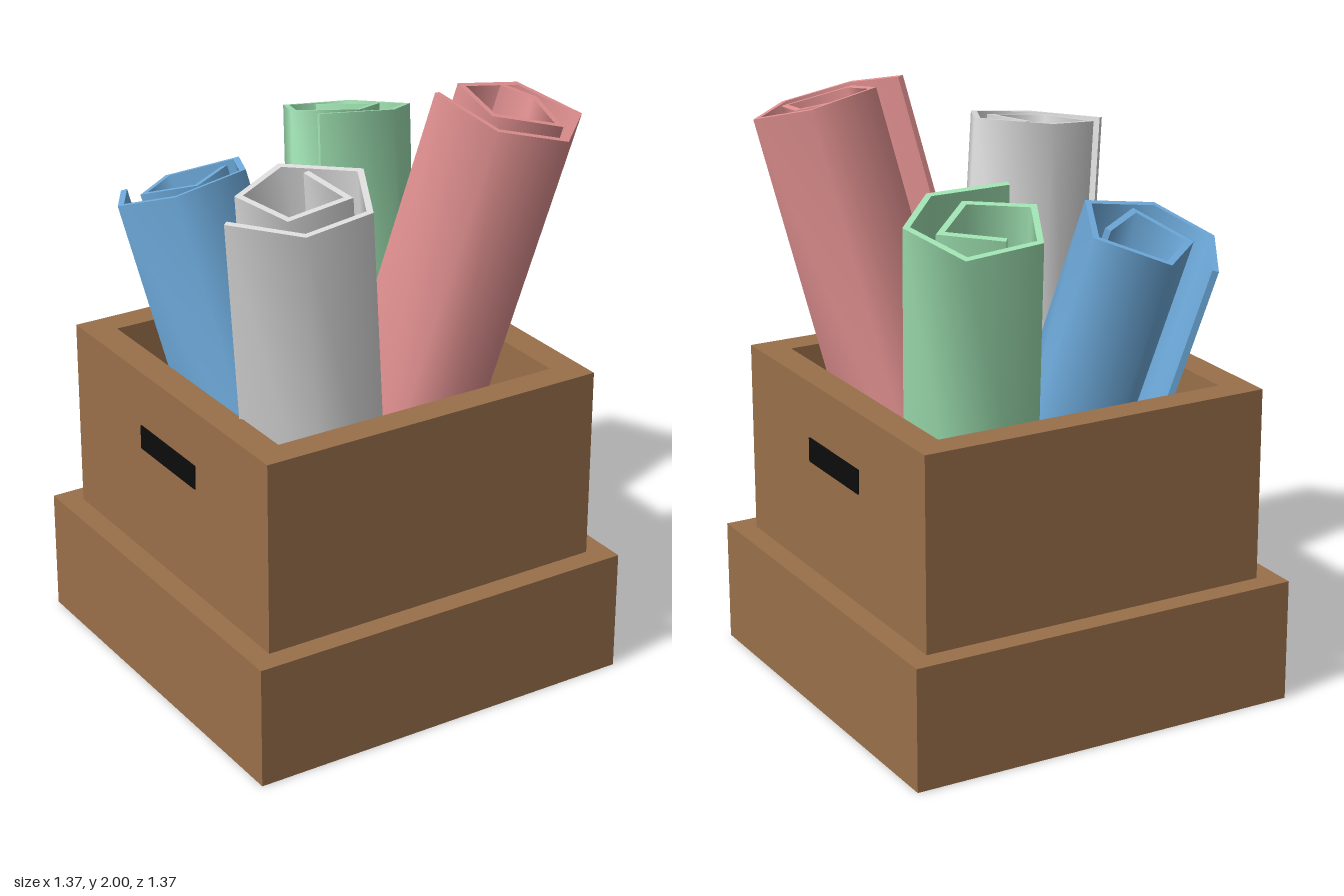
import * as THREE from 'three';

const material = (name, color, side = THREE.FrontSide) => {
  const m = new THREE.MeshStandardMaterial({ color, side });
  m.name = name;
  return m;
};

function addMesh(parent, name, geometry, mat, x = 0, y = 0, z = 0) {
  const mesh = new THREE.Mesh(geometry, mat);
  mesh.name = name;
  mesh.position.set(x, y, z);
  parent.add(mesh);
  return mesh;
}

// Smooth band between two equally long rows of points
function addStrip(parent, name, a, b, mat) {
  const positions = [], index = [];
  a.forEach((p, i) => {
    positions.push(...p, ...b[i]);
    const k = i * 2;
    if (i < a.length - 1) index.push(k, k + 1, k + 3, k, k + 3, k + 2);
  });
  const g = new THREE.BufferGeometry();
  g.setAttribute('position', new THREE.Float32BufferAttribute(positions, 3));
  g.setIndex(index);
  g.computeVertexNormals();
  addMesh(parent, name, g, mat);
}

// Leaning paper roll: the spiral [x, z] is its top rim, the lean is dx and dz per unit of height,
// and the rim is cut square to the lean
function paperRoll(name, mat, spiral, topY, [lx, lz], thickness = 0.02, bottomY = 0.55) {
  const roll = new THREE.Group();
  roll.name = name;
  const pts = spiral.map(([x, z]) => new THREE.Vector2(x, z));
  const last = pts.length - 1;
  const normal = (i) => {
    const d = pts[i + 1].clone().sub(pts[i]).normalize();
    return new THREE.Vector2(d.y, -d.x);
  };
  // Mitred inward offset gives the paper its thickness
  const inner = pts.map((p, i) => {
    const n0 = normal(Math.max(i - 1, 0)), n1 = normal(Math.min(i, last - 1));
    const m = n0.clone().add(n1).normalize();
    return p.clone().addScaledVector(m, thickness / m.dot(n1));
  });
  const top = (p) => [p.x, topY - lx * (p.x - pts[0].x) - lz * (p.y - pts[0].y), p.y];
  const bottom = (p) => {
    const [x, y, z] = top(p);
    return [x - lx * (y - bottomY), bottomY, z - lz * (y - bottomY)];
  };
  const topO = pts.map(top), botO = pts.map(bottom);
  const topI = inner.map(top), botI = inner.map(bottom);
  addStrip(roll, 'outerPaper', topO, botO, mat);
  addStrip(roll, 'innerPaper', botI, topI, mat);
  addStrip(roll, 'topRim', topI, topO, mat);
  addStrip(roll, 'outerEdge', [topI[0], topO[0]], [botI[0], botO[0]], mat);
  addStrip(roll, 'innerEdge', [topO[last], topI[last]], [botO[last], botI[last]], mat);
  return roll;
}

function square(ShapeType, h) {
  return new ShapeType([[-h, -h], [h, -h], [h, h], [-h, h]].map(([x, y]) => new THREE.Vector2(x, y)));
}

export function createModel() {
  const model = new THREE.Group();
  model.name = 'boxOfPaperRolls';

  const cardboard = material('cardboard', 0x9a704a);
  const black = material('handleBlack', 0x0c0c0c);
  const white = material('whitePaper', 0xdddddd, THREE.DoubleSide);
  const red = material('redPaper', 0xe49292, THREE.DoubleSide);
  const green = material('greenPaper', 0xa0e3b3, THREE.DoubleSide);
  const blue = material('bluePaper', 0x70aee0, THREE.DoubleSide);

  // Lid under the box, then walls with an opening and a raised floor
  addMesh(model, 'lid', new THREE.BoxGeometry(1.37, 0.415, 1.37), cardboard, 0, 0.2075, 0);
  const wallShape = square(THREE.Shape, 0.61);
  wallShape.holes.push(square(THREE.Path, 0.51));
  const walls = new THREE.ExtrudeGeometry(wallShape, { depth: 0.65, bevelEnabled: false });
  walls.rotateX(-Math.PI / 2);
  addMesh(model, 'boxWalls', walls, cardboard, 0, 0.415, 0);
  addMesh(model, 'boxFloor', new THREE.BoxGeometry(1.04, 0.25, 1.04), cardboard, 0, 0.525, 0);

  // Hand slots on both sides
  for (const [name, s] of [['leftHandSlot', 1], ['rightHandSlot', -1]]) {
    addMesh(model, name, new THREE.BoxGeometry(0.008, 0.082, 0.345), black, s * 0.611, 0.835, 0);
  }

  // Four loosely wound rolls
  model.add(paperRoll('redRoll', red, [
    [0.19, 0.30], [0.25, 0.55], [0.47, 0.615], [0.66, 0.43], [0.56, 0.22],
    [0.32, 0.235], [0.30, 0.45], [0.52, 0.52], [0.565, 0.32], [0.49, 0.23],
  ], 1.995, [0.195, 0.2]));
  model.add(paperRoll('whiteRoll', white, [
    [-0.60, 0.36], [-0.445, 0.57], [-0.21, 0.57], [-0.09, 0.33], [-0.28, 0.145],
    [-0.49, 0.235], [-0.44, 0.46], [-0.21, 0.46], [-0.23, 0.24],
  ], 1.75, [-0.12, 0.1]));
  model.add(paperRoll('blueRoll', blue, [
    [-0.41, -0.64], [-0.54, -0.42], [-0.44, -0.22], [-0.18, -0.22], [-0.07, -0.45],
    [-0.26, -0.605], [-0.435, -0.46], [-0.335, -0.26], [-0.15, -0.39],
  ], 1.49, [-0.16, -0.3]));
  model.add(paperRoll('greenRoll', green, [
    [0.13, -0.27], [0.385, -0.215], [0.545, -0.36], [0.47, -0.615], [0.215, -0.635],
    [0.12, -0.43], [0.31, -0.305], [0.475, -0.44], [0.31, -0.575],
  ], 1.765, [0.115, -0.23]));

  return model;
}
